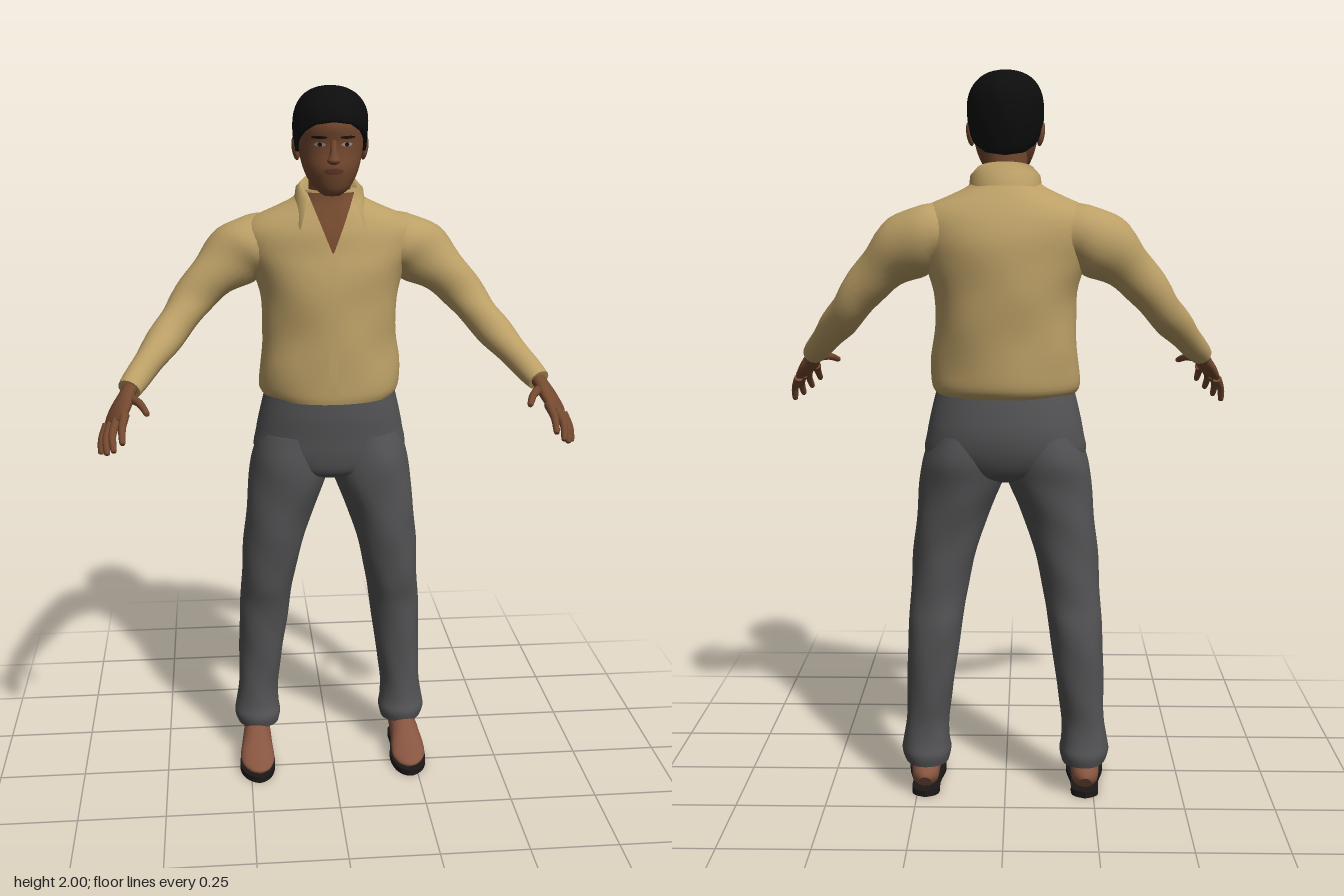
import * as THREE from 'three';

const V = (x, y, z) => new THREE.Vector3(x, y, z);
const colour = (name, color) => Object.assign(new THREE.MeshStandardMaterial({ color }), { name });

// Catmull-Rom resampling of a table of cross-sections
function resample(table, steps) {
  const out = [], last = table.length - 1;
  for (let i = 0; i < last; i++) {
    const [a, b, c, d] = [table[Math.max(i - 1, 0)], table[i], table[i + 1], table[Math.min(i + 2, last)]];
    for (let k = 0; k < steps; k++) {
      const t = k / steps;
      out.push(b.map((_, j) => b[j] + 0.5 * t * (c[j] - a[j] + t * (2 * a[j] - 5 * b[j] + 4 * c[j] - d[j]
        + t * (3 * (b[j] - c[j]) + d[j] - a[j])))));
    }
  }
  out.push(table[last]);
  return out;
}

// Surface through rows of points; loops are closed around and capped at both ends
function skinRows(rows, loop = true) {
  const pos = [], idx = [], n = rows[0].length, m = rows.length;
  const add = p => pos.push(p.x, p.y, p.z) / 3 - 1;
  rows.forEach(r => r.forEach(add));
  for (let i = 0; i < m - 1; i++) for (let j = 0; j < (loop ? n : n - 1); j++) {
    const k = (j + 1) % n, a = i * n + j, b = i * n + k, c = b + n, d = a + n;
    idx.push(a, b, c, a, c, d);
  }
  if (loop) [rows[0], rows[m - 1]].forEach((r, end) => {
    const mid = add(r.reduce((s, p) => s.add(p), V(0, 0, 0)).divideScalar(n));
    const first = mid + 1;
    r.forEach(add);
    for (let j = 0; j < n; j++) {
      const a = first + j, b = first + (j + 1) % n;
      end ? idx.push(mid, a, b) : idx.push(mid, b, a);
    }
  });
  const g = new THREE.BufferGeometry();
  g.setAttribute('position', new THREE.Float32BufferAttribute(pos, 3));
  g.setIndex(idx);
  g.computeVertexNormals();
  return g;
}

// Horizontal sections [y, x0, x1, zBack, zFront]; fold adds soft cloth ripples
function stack(table, { n = 32, p = 2, fold = 0, steps = 4 } = {}) {
  const pw = c => Math.sign(c) * Math.abs(c) ** (2 / p);
  return skinRows(resample(table, steps).map(([y, x0, x1, z0, z1]) => Array.from({ length: n }, (_, j) => {
    const a = j / n * Math.PI * 2;
    const f = 1 + fold * (Math.sin(5 * a + 21 * y) + Math.sin(3 * a - 34 * y));
    return V((x0 + x1) / 2 + (x1 - x0) / 2 * pw(Math.cos(a)) * f, y, (z0 + z1) / 2 - (z1 - z0) / 2 * pw(Math.sin(a)) * f);
  })));
}

// Sections [x, y, z, ru, rv] swept along their own centre line
function sweep(table, ref, { n = 16, fold = 0, steps = 4 } = {}) {
  const s = resample(table, steps), c = s.map(r => V(r[0], r[1], r[2]));
  return skinRows(s.map((r, i) => {
    const t = c[Math.min(i + 1, c.length - 1)].clone().sub(c[Math.max(i - 1, 0)]).normalize();
    const u = ref.clone().cross(t).normalize(), v = t.clone().cross(u);
    return Array.from({ length: n }, (_, j) => {
      const a = j / n * Math.PI * 2, f = 1 + fold * Math.sin(2 * a + i * 0.9);
      return c[i].clone().addScaledVector(u, r[3] * f * Math.cos(a)).addScaledVector(v, r[4] * f * Math.sin(a));
    });
  }));
}

// Front z of a stacked body at (x, y)
const frontOf = (table, p) => {
  const rows = resample(table, 4);
  return (x, y) => {
    let i = rows.findIndex(r => r[0] >= y);
    i = i < 0 ? rows.length - 1 : Math.max(i, 1);
    const a = rows[i - 1], b = rows[i], t = THREE.MathUtils.clamp((y - a[0]) / (b[0] - a[0]), 0, 1);
    const [, , x1, z0, z1] = a.map((v, j) => v + (b[j] - v) * t);
    return (z0 + z1) / 2 + (z1 - z0) / 2 * Math.max(0, 1 - Math.abs(x / x1) ** p) ** (1 / p);
  };
};

// Thin panel lying on a body front, w(t) is its half width from bottom to top
function panel(front, y0, y1, cx, w, off) {
  return skinRows(Array.from({ length: 13 }, (_, i) => Array.from({ length: 9 }, (_, j) => {
    const t = i / 12, y = y0 + (y1 - y0) * t, x = cx + w(t) * (j / 4 - 1);
    return V(x, y, front(x, y) + off);
  })), false);
}

function mirrored(g) {
  const m = g.clone().scale(-1, 1, 1);
  if (!m.index) m.setIndex([...Array(m.attributes.position.count).keys()]);
  const a = m.index.array;
  for (let i = 0; i < a.length; i += 3) [a[i], a[i + 1]] = [a[i + 1], a[i]];
  m.computeVertexNormals();
  return m;
}

export function createModel() {
  const model = new THREE.Group();
  const skin = colour('skin', 0x74492f), footSkin = colour('footSkin', 0x875540), hairMat = colour('hair', 0x0d0d0d);
  const shirt = colour('shirt', 0xbb9f66), trouser = colour('trousers', 0x535355), soleMat = colour('sole', 0x1d1818);
  const lipMat = colour('lips', 0x5f3529), eyeWhite = colour('eyeWhite', 0x9c8c80), dark = colour('darkDetail', 0x1b120e);
  shirt.side = THREE.DoubleSide;
  const add = (name, g, mat) => {
    const m = new THREE.Mesh(g, mat);
    m.name = name;
    model.add(m);
  };
  const pair = (name, g, mat) => {
    add('left' + name, g, mat);
    add('right' + name, mirrored(g), mat);
  };
  const even = t => t.map(([y, x, z0, z1]) => [y, -x, x, z0, z1]);
  const round = w => t => w * Math.sqrt(Math.max(0, 1 - (2 * t - 1) ** 2));

  // Shirt body, placket, open neck and collar
  const torso = even([[1.145, 0.185, -0.25, 0.03], [1.17, 0.2, -0.268, 0.034], [1.23, 0.2, -0.272, 0.034],
    [1.32, 0.19, -0.277, 0.03], [1.42, 0.192, -0.282, 0.028], [1.5, 0.215, -0.282, 0.02], [1.56, 0.24, -0.276, 0.006],
    [1.61, 0.245, -0.262, -0.005], [1.645, 0.215, -0.245, -0.018], [1.675, 0.15, -0.225, -0.03],
    [1.7, 0.1, -0.205, -0.04], [1.725, 0.08, -0.185, -0.045]]);
  const chest = frontOf(torso, 2);
  add('shirtBody', stack(torso, { n: 48, fold: 0.008 }), shirt);
  add('placket', panel(chest, 1.16, 1.58, 0, () => 0.014, 0.005), shirt);
  add('openNeck', panel(chest, 1.565, 1.72, 0, t => 0.002 + 0.062 * t, 0.008), skin);
  const collarRow = f => Array.from({ length: 41 }, (_, i) => f(i / 20 - 1));
  add('collar', skinRows([
    collarRow(u => V(0.1 * Math.sin(2.08 * u), 1.7 - 0.075 * u ** 4, -0.12 - 0.095 * Math.cos(2.08 * u) + 0.068 * u ** 4)),
    collarRow(u => V(0.093 * Math.sin(2.3 * u), 1.735 - 0.05 * u ** 4, -0.117 - 0.085 * Math.cos(2.3 * u) + 0.035 * u ** 4)),
    collarRow(u => V(0.078 * Math.sin(2.45 * u), 1.762 - 0.055 * u * u, -0.11 - 0.065 * Math.cos(2.45 * u))),
    collarRow(u => V(0.068 * Math.sin(2.5 * u), 1.735 - 0.05 * u * u, -0.11 - 0.055 * Math.cos(2.5 * u)))
  ], false), shirt);

  // Sleeves
  pair('Sleeve', sweep([[0.14, 1.575, -0.145, 0.07, 0.085], [0.2, 1.57, -0.145, 0.085, 0.092], [0.26, 1.54, -0.14, 0.088, 0.085],
    [0.325, 1.488, -0.122, 0.068, 0.062], [0.385, 1.425, -0.104, 0.056, 0.054], [0.43, 1.365, -0.072, 0.051, 0.051],
    [0.475, 1.315, -0.015, 0.046, 0.046], [0.52, 1.265, 0.05, 0.038, 0.038], [0.556, 1.226, 0.112, 0.032, 0.032]],
  V(0, 0, 1), { n: 24, fold: 0.035 }), shirt);

  // Hands: palm, four fingers and thumb
  const across = V(0.055, -0.04, -0.04), along = V(0.04, -0.075, 0.1);
  const palmUp = along.clone().cross(across).normalize();
  pair('Palm', sweep([[0.545, 1.24, 0.09, 0.024, 0.021], [0.56, 1.219, 0.125, 0.027, 0.019], [0.575, 1.193, 0.155, 0.04, 0.019],
    [0.588, 1.17, 0.18, 0.044, 0.016], [0.595, 1.157, 0.195, 0.036, 0.01]], palmUp), skin);
  [['Index', [0.565, 1.18, 0.2], [0.57, 1.158, 0.25], [0.568, 1.13, 0.287]],
    ['Middle', [0.586, 1.166, 0.195], [0.596, 1.14, 0.245], [0.592, 1.107, 0.278]],
    ['Ring', [0.602, 1.153, 0.185], [0.614, 1.123, 0.22], [0.612, 1.09, 0.245]],
    ['Little', [0.614, 1.145, 0.168], [0.628, 1.113, 0.19], [0.631, 1.08, 0.205]],
    ['Thumb', [0.555, 1.21, 0.14], [0.525, 1.207, 0.19], [0.506, 1.193, 0.237]]].forEach(([name, a, b, c]) => {
    const tip = c.map((v, i) => v + (c[i] - b[i]) * 0.1);
    pair(name === 'Thumb' ? name : name + 'Finger',
      sweep([[...a, 0.013, 0.013], [...b, 0.0105, 0.0105], [...c, 0.008, 0.008], [...tip, 0.002, 0.002]], palmUp, { n: 10 }), skin);
  });

  // Trousers
  add('trouserSeat', stack(even([[0.905, 0.06, -0.16, -0.05], [0.93, 0.16, -0.22, 0], [0.98, 0.218, -0.25, 0.015],
    [1.04, 0.213, -0.262, 0.02], [1.1, 0.201, -0.257, 0.025], [1.16, 0.186, -0.245, 0.024]]), { n: 40, p: 2.1 }), trouser);
  pair('TrouserLeg', stack([[0.095, 0.16, 0.283, -0.2, -0.062], [0.125, 0.153, 0.292, -0.207, -0.056],
    [0.16, 0.158, 0.288, -0.2, -0.066], [0.22, 0.16, 0.28, -0.196, -0.07], [0.3, 0.148, 0.276, -0.204, -0.066],
    [0.4, 0.134, 0.274, -0.212, -0.058], [0.5, 0.12, 0.27, -0.214, -0.046], [0.58, 0.108, 0.264, -0.206, -0.026],
    [0.7, 0.08, 0.256, -0.208, -0.008], [0.8, 0.05, 0.247, -0.216, 0.002], [0.9, 0.008, 0.236, -0.232, 0.012],
    [0.97, -0.01, 0.225, -0.246, 0.014], [1.04, 0, 0.2, -0.24, 0.005]], { fold: 0.012, p: 2.1 }), trouser);

  // Feet and flat sandals
  pair('Ankle', stack([[0.05, 0.192, 0.262, -0.17, -0.07], [0.1, 0.195, 0.258, -0.165, -0.09], [0.16, 0.195, 0.255, -0.16, -0.095]]), footSkin);
  pair('Foot', sweep([[0.226, 0.045, -0.185, 0.018, 0.022], [0.226, 0.055, -0.165, 0.036, 0.037], [0.227, 0.066, -0.1, 0.041, 0.048],
    [0.229, 0.056, -0.05, 0.045, 0.04], [0.23, 0.042, 0, 0.05, 0.027], [0.227, 0.033, 0.04, 0.046, 0.017],
    [0.222, 0.028, 0.07, 0.028, 0.011], [0.22, 0.025, 0.08, 0.008, 0.004]], V(0, 1, 0), { n: 20 }), footSkin);
  const outline = new THREE.Shape();
  outline.moveTo(0.226, 0.19);
  outline.splineThru([[0.262, 0.165], [0.266, 0.09], [0.283, 0], [0.268, -0.065], [0.228, -0.097],
    [0.192, -0.07], [0.177, 0], [0.188, 0.09], [0.19, 0.165], [0.226, 0.19]].map(q => new THREE.Vector2(...q)));
  pair('SandalSole', new THREE.ExtrudeGeometry(outline, { depth: 0.018, bevelEnabled: false, curveSegments: 40 }).rotateX(-Math.PI / 2), soleMat);

  // Head and neck
  const head = even([[1.716, 0.022, -0.05, -0.004], [1.73, 0.042, -0.075, 0.01], [1.755, 0.062, -0.12, 0.02],
    [1.79, 0.077, -0.155, 0.028], [1.83, 0.086, -0.175, 0.024], [1.86, 0.09, -0.18, 0.025], [1.9, 0.09, -0.185, 0.034],
    [1.94, 0.082, -0.18, 0.02], [1.975, 0.05, -0.14, -0.02]]);
  const face = frontOf(head, 2);
  add('head', stack(head, { n: 40 }), skin);
  add('neck', stack(even([[1.58, 0.05, -0.17, -0.05], [1.67, 0.062, -0.17, -0.045], [1.72, 0.058, -0.165, -0.045],
    [1.8, 0.058, -0.165, -0.05]])), skin);
  add('nose', stack(even([[1.802, 0.008, 0.01, 0.032], [1.811, 0.018, 0.01, 0.046], [1.83, 0.011, 0.01, 0.039],
    [1.865, 0.008, 0.01, 0.028]]), { n: 16 }), skin);
  add('lips', panel(face, 1.775, 1.793, 0, round(0.026), 0.003), lipMat);
  pair('Ear', new THREE.SphereGeometry(1, 16, 12).scale(0.01, 0.032, 0.02).rotateZ(-0.15).translate(0.094, 1.835, -0.088), skin);
  pair('Eye', panel(face, 1.848, 1.859, 0.036, round(0.015), 0.002), eyeWhite);
  pair('Iris', panel(face, 1.848, 1.859, 0.036, round(0.006), 0.0035), dark);
  pair('Brow', panel(face, 1.868, 1.876, 0.038, round(0.021), 0.003), dark);

  // Hair cap with a shaped hairline, angle 0 at the brow and PI at the nape
  const line = [[0, 1.912], [0.5, 1.905], [0.9, 1.885], [1.25, 1.86], [1.5, 1.825], [1.7, 1.845], [2, 1.81], [2.5, 1.785], [3.15, 1.778]];
  const hairline = a => {
    const i = line.findIndex(q => q[0] >= a) || 1, [p, q] = [line[i - 1], line[i]];
    return p[1] + (q[1] - p[1]) * (a - p[0]) / (q[0] - p[0]);
  };
  add('hair', skinRows(Array.from({ length: 18 }, (_, i) => Array.from({ length: 64 }, (_, j) => {
    const a = j / 64 * Math.PI * 2, f = Math.acos(THREE.MathUtils.clamp(-Math.sin(a), -1, 1));
    const low = hairline(f), y = low + (2 - low) * Math.sin(Math.max(0, i - 1) / 16 * Math.PI / 2);
    let r = y > 1.9 ? Math.max(0, 1 - ((y - 1.9) / 0.1) ** 2.3) ** (1 / 2.3) : 1 - 0.2 * ((1.9 - y) / 0.12) ** 2;
    if (i === 0) r *= 0.82;
    r *= 1 + 0.008 * Math.sin(9 * a + 40 * y);
    return V(0.102 * r * Math.cos(a), y, -0.08 - 0.122 * r * Math.sin(a));
  }))), hairMat);

  return model;
}
